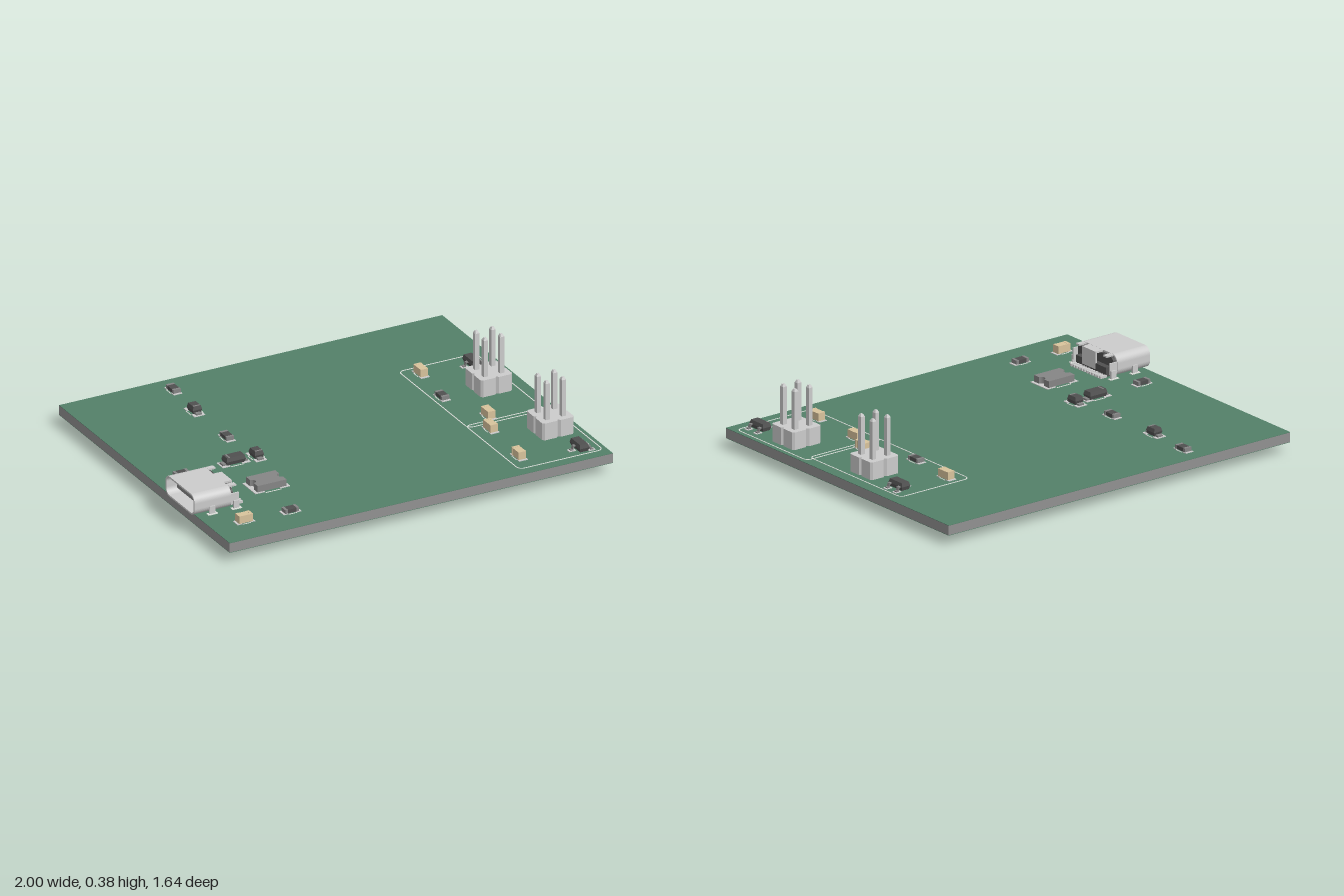
import * as THREE from 'three';

const TOP = 0.1; // upper face of the board
const mat = (color) => new THREE.MeshStandardMaterial({ color });
const grey = mat(0xcccccc), green = mat(0x538069), edge = mat(0x919191), dark = mat(0x505050),
  tan = mat(0xd8c39c), mid = mat(0x858585), silk = mat(0xdfe3dd);

function add(parent, name, geo, material, x = 0, y = 0, z = 0) {
  const mesh = new THREE.Mesh(geo, material);
  mesh.name = name;
  mesh.position.set(x, y, z);
  parent.add(mesh);
  return mesh;
}
// Box given by its centre in plan, its underside and its size
const box = (parent, name, material, x, y, z, w, h, d) =>
  add(parent, name, new THREE.BoxGeometry(w, h, d), material, x, y + h / 2, z);

function part(parent, name, x, z, turn = 0) {
  const g = new THREE.Group();
  g.name = name;
  g.position.set(x, TOP, z);
  g.rotation.y = turn;
  parent.add(g);
  return g;
}

function roundRect(w, h, r, C = THREE.Shape) {
  const s = new C(), a = w / 2 - r, b = h / 2 - r;
  s.absarc(a, b, r, 0, Math.PI / 2);
  s.absarc(-a, b, r, Math.PI / 2, Math.PI);
  s.absarc(-a, -b, r, Math.PI, Math.PI * 1.5);
  s.absarc(a, -b, r, Math.PI * 1.5, Math.PI * 2);
  s.closePath();
  return s;
}
const extrude = (shape, depth) =>
  new THREE.ExtrudeGeometry(shape, { depth, bevelEnabled: false, curveSegments: 8 });

// Tube of rounded rectangular section running along x
function shellGeo(w, h, r, t, depth) {
  const s = roundRect(w, h, r);
  s.holes.push(roundRect(w - 2 * t, h - 2 * t, r - t, THREE.Path));
  return extrude(s, depth).rotateY(Math.PI / 2);
}

// Solder pads with the small outline strips beside them
function pads(g, l, w) {
  for (const s of [-1, 1]) {
    box(g, 'pad', grey, s * l * 0.36, 0, 0, l * 0.28, 0.003, w);
    box(g, 'padOutline', silk, 0, 0, s * w * 0.56, l * 0.45, 0.002, 0.004);
  }
}

// Two-terminal block with metal ends
function chip(root, name, material, h, x, z, turn) {
  const g = part(root, name, x, z, turn);
  pads(g, 0.092, 0.045);
  box(g, 'body', material, 0, 0.003, 0, 0.046, h, 0.038);
  for (const s of [-1, 1])
    box(g, 'terminal', material === tan ? material : mid, s * 0.029, 0.003, 0, 0.013, h + 0.001, 0.039);
}

// Bent metal lead reaching out along x
function lead(g, x, z, dir, width) {
  const pts = [[0, 0.02], [0.012, 0.02], [0.016, 0.003], [0.03, 0.003], [0.03, 0.008],
    [0.02, 0.008], [0.016, 0.025], [0, 0.025]].map(p => new THREE.Vector2(...p));
  const m = add(g, 'lead', extrude(new THREE.Shape(pts), width).translate(0, 0, -width / 2), mid, x, 0, z);
  if (dir < 0) m.rotation.y = Math.PI;
}

// Moulded body, narrower at top and bottom than at the waist
function moulded(g, l, w, h) {
  const geo = new THREE.BoxGeometry(l, h, w, 1, 2, 1).toNonIndexed(), p = geo.attributes.position;
  for (let i = 0; i < p.count; i++) {
    if (Math.abs(p.getY(i)) < 0.001) continue;
    p.setX(i, p.getX(i) - Math.sign(p.getX(i)) * 0.005);
    p.setZ(i, p.getZ(i) - Math.sign(p.getZ(i)) * 0.005);
  }
  geo.computeVertexNormals();
  add(g, 'body', geo, dark, 0, 0.004 + h / 2, 0);
}

function diode(root, x, z, turn, l, w) {
  const g = part(root, 'diode', x, z, turn);
  pads(g, l + 0.045, w + 0.008);
  moulded(g, l, w, 0.036);
  for (const s of [-1, 1]) box(g, 'lead', mid, s * (l / 2 + 0.005), 0.003, 0, 0.02, 0.008, w * 0.6);
  box(g, 'cathodeBand', mid, -l * 0.32, 0.04, 0, 0.008, 0.0008, w * 0.75);
}

function transistor(root, x, z, turn) {
  const g = part(root, 'regulator', x, z, turn);
  moulded(g, 0.05, 0.098, 0.036);
  for (const [s, zz] of [[-1, -0.033], [-1, 0.033], [1, 0]]) {
    lead(g, s * 0.02, zz, s, 0.016);
    box(g, 'pad', grey, s * 0.042, 0, zz, 0.034, 0.003, 0.026);
  }
}

// Two by two pin header, pins passing through the board
function pinHeader(root, x, z) {
  const g = part(root, 'pinHeader', x, z);
  const c = 0.082, k = 0.01, pts = [];
  for (let i = 0; i < 4; i++) {
    const v = new THREE.Vector2(), a = i * Math.PI / 2;
    for (const p of [[c, -c + k], [c, -k], [c - k, 0], [c, k], [c, c - k], [c - k, c]])
      pts.push(new THREE.Vector2(...p).rotateAround(v, a));
  }
  add(g, 'housing', extrude(new THREE.Shape(pts), 0.085).rotateX(-Math.PI / 2), grey);
  const r = 0.0155;
  const profile = [[0, -0.1], [r * 0.5, -0.1], [r, -0.088], [r, 0.268], [r * 0.5, 0.28], [0, 0.28]]
    .map(p => new THREE.Vector2(...p));
  const pinGeo = new THREE.LatheGeometry(profile, 4).rotateY(Math.PI / 4).toNonIndexed();
  pinGeo.computeVertexNormals();
  for (const sx of [-1, 1]) for (const sz of [-1, 1]) {
    add(g, 'pin', pinGeo, grey, sx * 0.042, 0, sz * 0.042);
    add(g, 'solderPad', new THREE.CylinderGeometry(0.026, 0.026, 0.002, 16), grey, sx * 0.042, -0.051, sz * 0.042);
  }
}

// Rounded metal socket, mouth towards -x
function socket(root) {
  const g = part(root, 'socket', 0, 0.37);
  const w = 0.28, h = 0.103, r = 0.038, t = 0.008;
  add(g, 'shell', shellGeo(w, h, r, t, 0.19), grey, -1, 0.054, 0);
  add(g, 'core', extrude(roundRect(w - 0.018, h - 0.018, r - 0.009), 0.05).rotateY(Math.PI / 2), dark, -0.845, 0.054, 0);
  box(g, 'tongue', mid, -0.9, 0.045, 0, 0.13, 0.018, 0.19);
  // stepped rear of the shell around two openings
  box(g, 'rearTop', grey, -0.789, 0.096, 0.015, 0.046, 0.009, 0.1);
  box(g, 'rearPlate', grey, -0.77, 0.02, 0.015, 0.008, 0.085, 0.1);
  box(g, 'contactBlock', dark, -0.787, 0.004, 0, 0.04, 0.045, 0.22);
  for (const s of [-1, 1]) {
    box(g, 'rearTopCorner', grey, -0.789, 0.097, s * 0.1, 0.04, 0.008, 0.025);
    box(g, 'rearSide', grey, -0.789, 0.02, s * 0.134, 0.042, 0.055, 0.008);
    for (const x of [-0.91, -0.785]) {
      box(g, 'leg', grey, x, -0.05, s * 0.142, 0.03, 0.09, 0.008);
      box(g, 'legPad', silk, x, 0, s * 0.143, 0.05, 0.003, 0.022);
      box(g, 'legPadUnder', silk, x, -0.052, s * 0.143, 0.05, 0.003, 0.018);
    }
    add(g, 'peg', new THREE.CylinderGeometry(0.01, 0.01, 0.06, 12), dark, -0.805, -0.022, s * 0.09);
  }
  for (let i = 0; i < 12; i++)
    box(g, 'contact', grey, -0.752, 0.002, (i - 5.5) * 0.0195, 0.036, 0.012, 0.011);
}

function fuse(root, x, z) {
  const g = part(root, 'fuse', x, z);
  pads(g, 0.18, 0.125);
  const s = new THREE.Shape(), a = 0.075, b = 0.055, n = 0.018;
  s.moveTo(-a, -b).lineTo(a, -b).lineTo(a, -n);
  s.absarc(a, 0, n, -Math.PI / 2, Math.PI / 2, true);
  s.lineTo(a, b).lineTo(-a, b).lineTo(-a, n);
  s.absarc(-a, 0, n, Math.PI / 2, -Math.PI / 2, true);
  s.closePath();
  add(g, 'body', extrude(s, 0.032).rotateX(-Math.PI / 2), mid, 0, 0.003, 0);
}

// Thin printed frame on the board
function frame(root, x0, x1, z0, z1) {
  const w = x1 - x0, d = z1 - z0, s = roundRect(w, d, 0.03);
  s.holes.push(roundRect(w - 0.01, d - 0.01, 0.025, THREE.Path));
  add(root, 'printedFrame', extrude(s, 0.0015).rotateX(-Math.PI / 2), silk, (x0 + x1) / 2, TOP, (z0 + z1) / 2);
}

export function createModel() {
  const root = new THREE.Group();
  root.name = 'circuitBoard';

  // Board: core between two thin coloured layers
  box(root, 'boardCore', edge, 0.0075, 0.052, 0, 1.985, 0.046, 1.64);
  for (const y of [0.05, 0.098]) box(root, 'boardCoating', green, 0.0075, y, 0, 1.985, 0.002, 1.64);
  frame(root, 0.54, 0.945, -0.395, 0.28);
  frame(root, 0.54, 0.98, 0.25, 0.77);

  socket(root);
  pinHeader(root, 0.828, -0.055);
  pinHeader(root, 0.862, 0.475);
  fuse(root, -0.55, 0.365);

  const q = Math.PI / 2;
  for (const [x, z, turn] of [[-0.455, -0.705, q], [-0.475, -0.155, q], [-0.845, 0.095, 0],
    [-0.585, 0.66, 0], [0.59, -0.062, q]])
    chip(root, 'resistor', dark, 0.018, x, z, turn);
  for (const [x, z, turn] of [[-0.82, 0.652, 0], [0.62, -0.322, q], [0.682, 0.212, q],
    [0.625, 0.34, q], [0.603, 0.652, q]])
    chip(root, 'capacitor', tan, 0.037, x, z, turn);

  diode(root, -0.475, -0.465, q, 0.06, 0.048);
  diode(root, -0.45, 0.083, q, 0.06, 0.048);
  diode(root, -0.57, 0.088, 0, 0.1, 0.052);
  transistor(root, 0.872, -0.295, Math.PI);
  transistor(root, 0.888, 0.707, Math.PI);
  return root;
}
